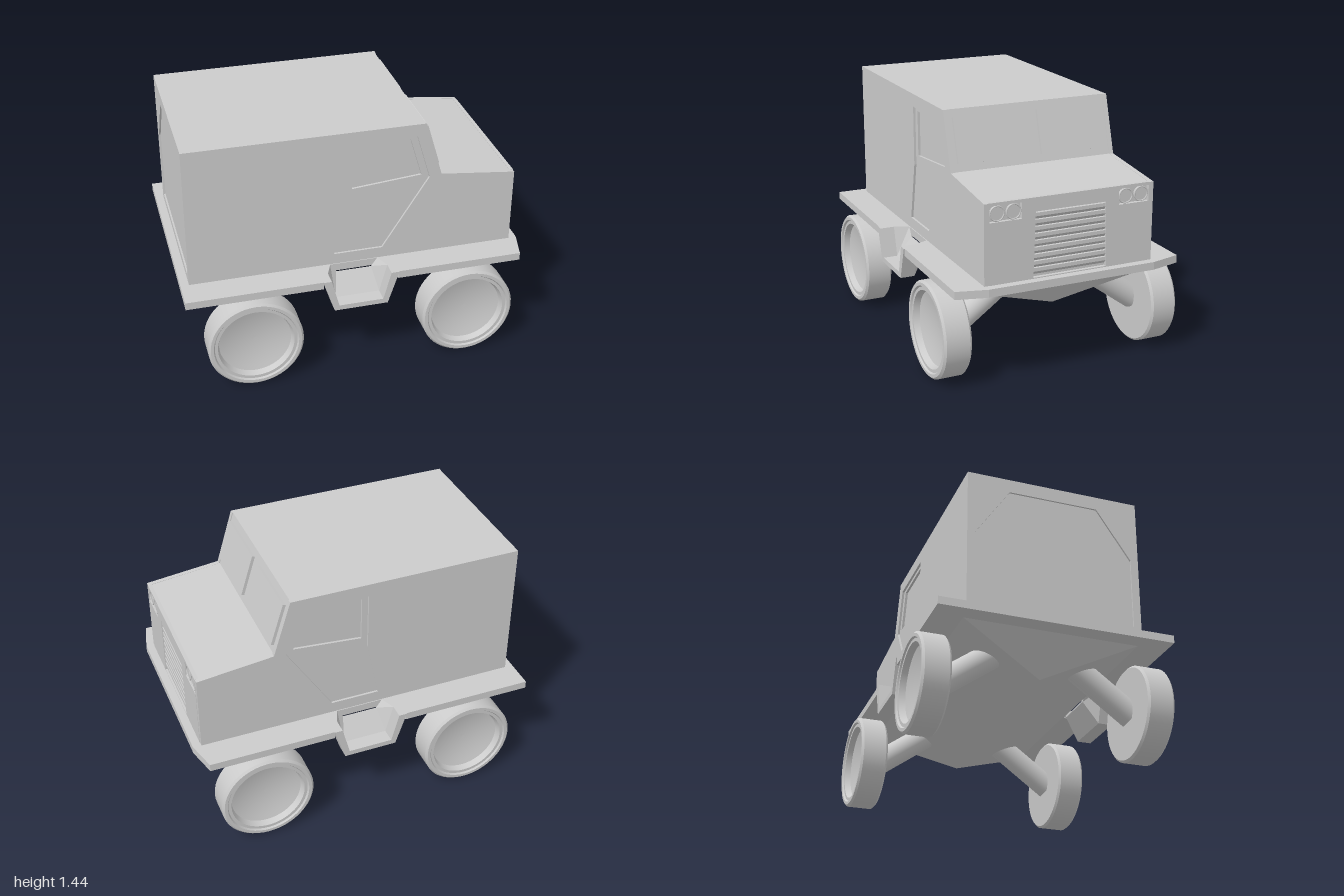
import * as THREE from 'three';
import { ConvexGeometry } from 'three/addons/geometries/ConvexGeometry.js';

const material = new THREE.MeshStandardMaterial({ color: 0xcccccc, side: THREE.DoubleSide });
const V = (x, y, z) => new THREE.Vector3(x, y, z);
const points = (list) => list.map(([x, y]) => new THREE.Vector2(x, y));
const rect = (x0, y0, x1, y1) => [[x0, y0], [x1, y0], [x1, y1], [x0, y1]];

// Flat plate from an outline with holes, extruded along +z
function plate(outline, holes, depth, steps = 1) {
  const shape = new THREE.Shape(points(outline));
  holes.forEach((h) => shape.holes.push(new THREE.Path(points(h))));
  return new THREE.ExtrudeGeometry(shape, { depth, steps, bevelEnabled: false });
}

export function createModel() {
  const model = new THREE.Group();
  const add = (name, geometry, parent = model) => {
    const mesh = new THREE.Mesh(geometry, material);
    mesh.name = name;
    parent.add(mesh);
    return mesh;
  };

  // Cabin side profile, running along x
  const profile = (end) => [
    [-end, 0.6], [end, 0.6], [end, 1.06], [0.51, 1.11], [0.41, 1.44], [-end, 1.44],
  ];
  add('cabinCore', plate(profile(0.937), [], 0.956).translate(-0.005, 0, -0.478));

  // Side skins in two layers: the outer opens at the door, the inner at its window
  const door = [[-0.115, 0.675], [0.17, 0.675], [0.44, 1.1], [0.36, 1.365], [-0.045, 1.365], [-0.045, 1.02]];
  const doorWindow = [[-0.01, 1.08], [0.395, 1.115], [0.325, 1.345], [-0.01, 1.345]];
  for (const s of [1, -1]) {
    add('sidePanel', plate(profile(0.952), [door], 0.013).translate(0, 0, s > 0 ? 0.492 : -0.505));
    add('door', plate(profile(0.952), [doorWindow], 0.014).translate(0, 0, s > 0 ? 0.478 : -0.492));
  }

  // Rear skin with the recessed tailgate
  const tailgate = [[-0.46, 0.65], [0.46, 0.65], [0.46, 1.065], [0.26, 1.36], [-0.26, 1.36], [-0.46, 1.065]];
  add('rearPanel', plate(rect(-0.478, 0.6, 0.478, 1.44), [tailgate], 0.012)
    .rotateY(Math.PI / 2).translate(-0.952, 0, 0));

  // Front skin with openings for the grille and lamps
  const grilleHole = [[-0.22, 0.615], [0.22, 0.615], [0.21, 0.985], [-0.21, 0.985]];
  const lampHoles = [rect(0.29, 0.955, 0.475, 1.045), rect(-0.475, 0.955, -0.29, 1.045)];
  add('frontPanel', plate(rect(-0.478, 0.6, 0.478, 1.062), [grilleHole, ...lampHoles], 0.022)
    .rotateY(Math.PI / 2).translate(0.932, 0, 0));

  // Grille louvres: upright lip with an undercut below it
  const louvre = [[0.93, 0], [0.936, 0], [0.951, 0.018], [0.951, 0.038], [0.93, 0.038]];
  for (let i = 0; i < 9; i++) {
    const half = 0.219 - i * 0.001;
    add('grilleSlat', plate(louvre, [], half * 2).translate(0, 0.63 + i * 0.0385, -half));
  }

  // Paired headlamps with rims
  for (const s of [1, -1]) {
    for (const z of [0.335, 0.43]) {
      add('headlamp', new THREE.CylinderGeometry(0.039, 0.039, 0.02, 32)
        .rotateZ(Math.PI / 2).translate(0.937, 1, s * z));
      add('headlampRim', new THREE.TorusGeometry(0.04, 0.004, 8, 32)
        .rotateY(Math.PI / 2).translate(0.948, 1, s * z));
    }
  }

  // Windscreen panes lying on the sloped face
  const tilt = Math.atan2(0.1, 0.33);
  for (const s of [1, -1]) {
    const pane = add('windscreenPane', new THREE.BoxGeometry(0.024, 0.255, 0.41));
    pane.position.set(0.461, 1.275, s * 0.253);
    pane.rotation.z = tilt;
  }

  // Deck with clipped front corners and a notch each side for the step
  const half = [[-1, 0.675], [-0.22, 0.675], [-0.172, 0.51], [0.172, 0.51], [0.22, 0.675], [0.955, 0.675], [1, 0.5]];
  const deck = [...half, ...half.map(([x, z]) => [x, -z]).reverse()];
  add('deck', plate(deck, [], 0.045).rotateX(Math.PI / 2).translate(0, 0.61, 0));

  // V-shaped hull under the deck
  const corners = [];
  for (const s of [1, -1]) corners.push(V(-0.9, 0.567, s * 0.51), V(0.955, 0.567, s * 0.51));
  add('hull', new ConvexGeometry([...corners, V(-0.7, 0.367, 0), V(0.75, 0.367, 0)]));

  // Side steps: a trough that narrows and rises toward the hull
  const trough = [
    [-0.222, 0.61], [-0.157, 0.41], [0.157, 0.41], [0.222, 0.61],
    [0.175, 0.61], [0.13, 0.44], [-0.13, 0.44], [-0.175, 0.61],
  ];
  for (const s of [1, -1]) {
    const g = plate(trough, [], 0.17, 2).translate(0, 0, s > 0 ? 0.51 : -0.68);
    const p = g.attributes.position;
    for (let i = 0; i < p.count; i++) {
      if (Math.abs(p.getZ(i)) < 0.55) {
        p.setX(i, p.getX(i) * 0.8);
        p.setY(i, 0.61 - (0.61 - p.getY(i)) * 0.3);
      }
    }
    g.computeVertexNormals();
    add('sideStep', g);
  }

  // Wheels with a dished hub, each on a slanted arm
  const tyre = points([
    [0, -0.08], [0.263, -0.08], [0.275, -0.068], [0.275, 0.068], [0.263, 0.08],
    [0.245, 0.08], [0.238, 0.07], [0.22, 0.07], [0.208, 0.035],
  ]);
  const dish = [];
  for (let i = 0; i <= 8; i++) {
    const r = 0.208 * (1 - i / 8);
    dish.push(new THREE.Vector2(r, 0.005 + 0.03 * (r / 0.208) ** 2));
  }
  for (const x of [-0.62, 0.638]) {
    for (const s of [1, -1]) {
      const wheel = new THREE.Group();
      wheel.name = 'wheel';
      wheel.position.set(x, 0.28, s * 0.635);
      wheel.rotation.x = s * Math.PI / 2;
      model.add(wheel);
      // Separate bands keep the tyre edges sharp
      for (let i = 0; i < tyre.length - 1; i++) {
        add('tyreBand', new THREE.LatheGeometry([tyre[i], tyre[i + 1]], 48), wheel);
      }
      add('hubDish', new THREE.LatheGeometry(dish, 48), wheel);

      const from = V(x, 0.285, s * 0.558);
      const to = V(x, 0.53, s * 0.22);
      const arm = add('suspensionArm', new THREE.CylinderGeometry(0.073, 0.073, from.distanceTo(to) + 0.06, 32));
      arm.position.copy(from).add(to).multiplyScalar(0.5);
      arm.quaternion.setFromUnitVectors(V(0, 1, 0), to.clone().sub(from).normalize());
    }
  }
  return model;
}
